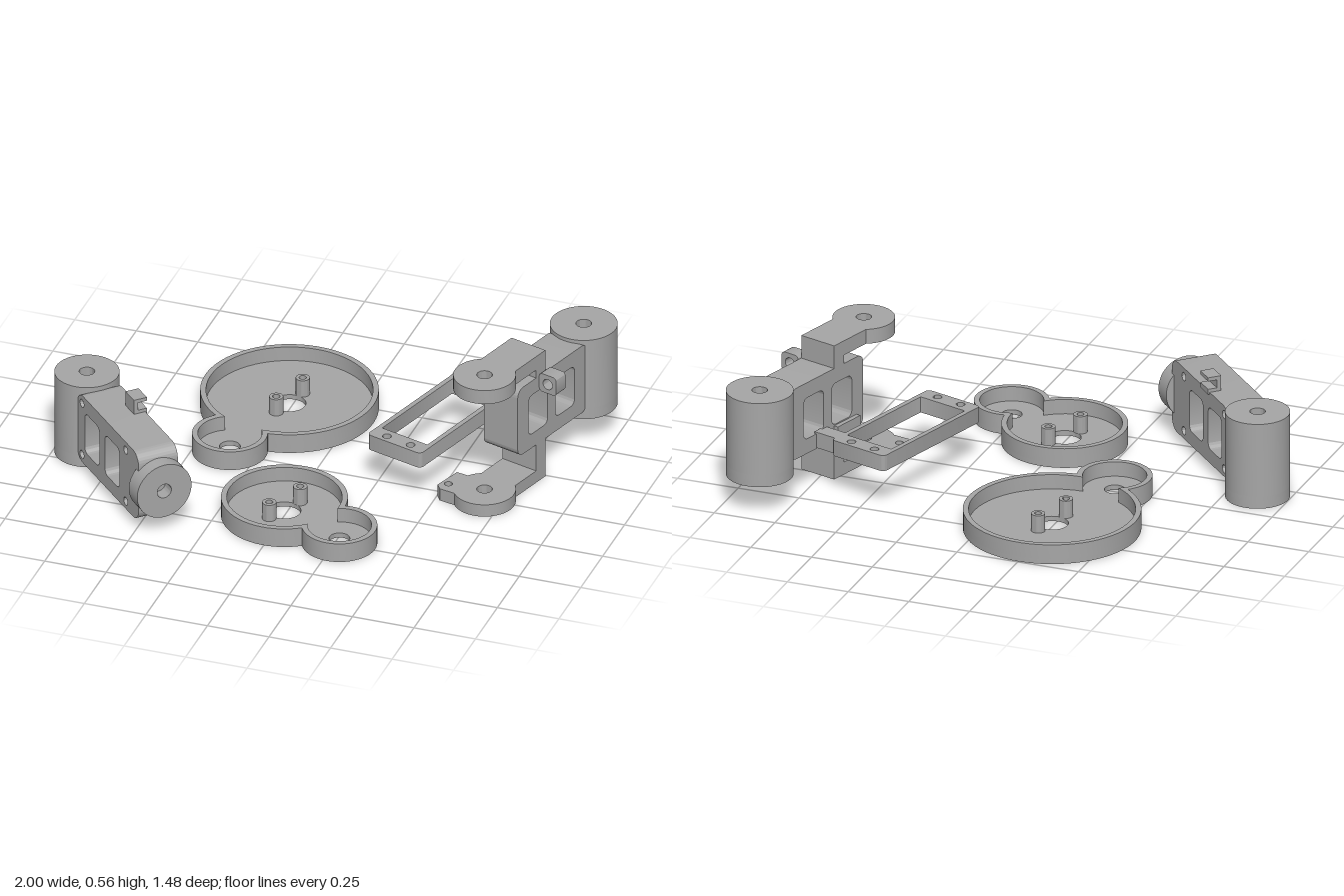
import * as THREE from 'three';
import { toCreasedNormals } from 'three/addons/utils/BufferGeometryUtils.js';

const grey = new THREE.MeshStandardMaterial({ color: 0xa6a6a6 });
grey.name = 'plain grey';

// ---- shape helpers ----
const circle = (x, y, r, Kind = THREE.Path) => {
  const p = new Kind();
  p.absarc(x, y, r, 0, Math.PI * 2, false);
  return p;
};

function roundRect(x0, y0, x1, y1, r, Kind = THREE.Path) {
  const p = new Kind();
  p.absarc(x1 - r, y0 + r, r, -Math.PI / 2, 0, false);
  p.absarc(x1 - r, y1 - r, r, 0, Math.PI / 2, false);
  p.absarc(x0 + r, y1 - r, r, Math.PI / 2, Math.PI, false);
  p.absarc(x0 + r, y0 + r, r, Math.PI, Math.PI * 1.5, false);
  p.closePath();
  return p;
}

// Outline of two merged circles: R at the origin, r at (d, 0)
function twoCircles(R, r, d, Kind = THREE.Path) {
  const x = (R * R - r * r + d * d) / (2 * d), y = Math.sqrt(R * R - x * x);
  const a = Math.atan2(y, x), b = Math.atan2(y, x - d);
  const p = new Kind();
  p.absarc(0, 0, R, a, Math.PI * 2 - a, false);
  p.absarc(d, 0, r, -b, b, false);
  p.closePath();
  return p;
}

function extrude(shape, depth, holes) {
  shape.holes.push(...holes);
  return new THREE.ExtrudeGeometry(shape, { depth, bevelEnabled: false, curveSegments: 28 });
}

function add(group, name, geo) {
  const mesh = new THREE.Mesh(toCreasedNormals(geo, 0.6), grey);
  mesh.name = name;
  group.add(mesh);
  return mesh;
}

// Horizontal slab: the shape lies in x/z and spans y0..y1
const slab = (group, name, shape, y0, y1, holes = []) =>
  add(group, name, extrude(shape, y1 - y0, holes).rotateX(Math.PI / 2).translate(0, y1, 0));

// Upright plate: the shape lies in x/y and spans z0..z1
const plate = (group, name, shape, z0, z1, holes = []) =>
  add(group, name, extrude(shape, z1 - z0, holes).translate(0, 0, z0));

function box(group, name, x0, x1, y0, y1, z0, z1) {
  const geo = new THREE.BoxGeometry(x1 - x0, y1 - y0, z1 - z0);
  return add(group, name, geo.translate((x0 + x1) / 2, (y0 + y1) / 2, (z0 + z1) / 2));
}

// Group whose local +x points along (dx, dz)
function placed(name, x, z, dx, dz) {
  const g = new THREE.Group();
  g.name = name;
  g.position.set(x, 0, z);
  g.rotation.y = Math.atan2(-dz, dx);
  return g;
}

// ---- shallow dish with a side lobe ----
function dish(name, x, z, dx, dz, R, pegs) {
  const d = Math.hypot(dx, dz), g = placed(name, x, z, dx, dz);
  const r = 0.145, wall = 0.022;
  const local = pegs.map(([px, pz]) => [(px * dx + pz * dz) / d, (pz * dx - px * dz) / d]);
  slab(g, 'dishFloor', twoCircles(R, r, d, THREE.Shape), 0, 0.02,
    [circle(0, 0, 0.063), circle(d, 0, 0.04), ...local.map(([a, b]) => circle(a, b, 0.014))]);
  slab(g, 'dishRim', twoCircles(R, r, d, THREE.Shape), 0.02, 0.08,
    [twoCircles(R - wall, r - wall, d)]);
  for (const [a, b] of local)
    slab(g, 'peg', circle(a, b, 0.027, THREE.Shape), 0.02, 0.092, [circle(a, b, 0.014)]);
  return g;
}

// ---- upright post with screw holes in its underside ----
function post(g, r, y0, y1) {
  slab(g, 'postBase', circle(0, 0, r, THREE.Shape), y0, y0 + 0.05,
    [circle(0, 0, 0.03), circle(0.07, 0, 0.014), circle(-0.07, 0, 0.014)]);
  slab(g, 'post', circle(0, 0, r, THREE.Shape), y0 + 0.05, y1, [circle(0, 0, 0.03)]);
}

// ---- left arm: post, windowed body, end disc ----
function discArm() {
  const g = placed('discArm', -0.875, 0.165, 1, 1);
  post(g, 0.125, 0.002, 0.355);
  const holes = [roundRect(0.155, 0.1, 0.285, 0.275, 0.025), roundRect(0.335, 0.1, 0.465, 0.275, 0.025)];
  for (const s of [0.13, 0.52]) for (const y of [0.075, 0.302]) holes.push(circle(s, y, 0.017));
  plate(g, 'armBody', roundRect(0.09, 0.042, 0.635, 0.338, 0.05, THREE.Shape), -0.083, 0.083, holes);
  const disc = extrude(circle(0, 0, 0.115, THREE.Shape), 0.075, [circle(0, 0, 0.03)]);
  add(g, 'endDisc', disc.rotateY(Math.PI / 2).translate(0.615, 0.19, 0));
  // open hook on the top edge
  box(g, 'hookBase', 0.27, 0.345, 0.33, 0.352, -0.09, -0.035);
  box(g, 'hookStem', 0.27, 0.345, 0.352, 0.4, -0.053, -0.035);
  box(g, 'hookTop', 0.27, 0.345, 0.385, 0.4, -0.09, -0.053);
  return g;
}

// ---- right arm: post, windowed body, two paddles, side frame ----
function paddleArm() {
  const g = placed('paddleArm', 0.867, -0.612, -0.283, 0.959);
  post(g, 0.13, 0.13, 0.48);
  plate(g, 'armBody', roundRect(0.09, 0.168, 0.54, 0.465, 0.035, THREE.Shape), -0.08, 0.08,
    [roundRect(0.17, 0.23, 0.295, 0.402, 0.025), roundRect(0.345, 0.23, 0.47, 0.402, 0.025)]);

  // columns and rounded paddles
  box(g, 'lowerColumn', 0.36, 0.42, 0.05, 0.175, -0.08, 0.08);
  box(g, 'upperColumn', 0.36, 0.42, 0.46, 0.505, -0.08, 0.08);
  const paddle = () => {
    const s = new THREE.Shape(), a = Math.asin(0.08 / 0.12);
    s.moveTo(0.36, 0.08);
    s.lineTo(0.36, -0.08);
    s.absarc(0.646, 0, 0.12, -Math.PI + a, Math.PI - a, false);
    s.closePath();
    return s;
  };
  slab(g, 'upperPaddle', paddle(), 0.5, 0.56, [circle(0.646, 0, 0.03)]);
  slab(g, 'lowerPaddle', paddle(), 0, 0.052, [circle(0.646, 0, 0.03)]);
  // ear beside the lower paddle, cut to follow its round end
  const ear = new THREE.Shape();
  ear.moveTo(0.60, 0.11);
  ear.absarc(0.646, 0, 0.119, 1.95, 0.65, true);
  ear.lineTo(0.745, 0.14);
  ear.lineTo(0.725, 0.165);
  ear.lineTo(0.605, 0.16);
  ear.closePath();
  slab(g, 'paddleEar', ear, 0, 0.052, [circle(0.695, 0.135, 0.016)]);

  // mounting frame with four screw holes
  const cs = 0.53, cz = 0.296, screws = [];
  for (const a of [-1, 1]) for (const b of [-1, 1])
    screws.push(circle(cs + a * 0.267, cz + b * 0.056, 0.017));
  slab(g, 'mountFrame', roundRect(cs - 0.3, cz - 0.127, cs + 0.3, cz + 0.127, 0.02, THREE.Shape), 0.172, 0.237,
    [roundRect(cs - 0.228, cz - 0.107, cs + 0.228, cz + 0.107, 0.005), ...screws]);
  box(g, 'frameLug', 0.25, 0.315, 0.172, 0.237, 0.07, 0.18);
  box(g, 'bodyPad', 0.36, 0.5, 0.172, 0.225, 0.07, 0.098);

  // eyelet on the outer side
  const eyelet = extrude(roundRect(-0.04, -0.04, 0.04, 0.04, 0.015, THREE.Shape), 0.06, [circle(0, 0, 0.022)]);
  add(g, 'eyelet', eyelet.rotateY(Math.PI / 2).translate(0.34, 0.44, -0.12));
  return g;
}

export function createModel() {
  const model = new THREE.Group();
  model.name = 'armParts';
  model.add(
    dish('largeDish', -0.254, -0.403, -0.106, 0.383, 0.342, [[0.024, -0.084], [-0.024, 0.084]]),
    dish('smallDish', -0.002, 0.364, 0.269, 0.128, 0.243, [[0.037, -0.077], [-0.035, 0.075]]),
    discArm(),
    paddleArm(),
  );
  return model;
}
